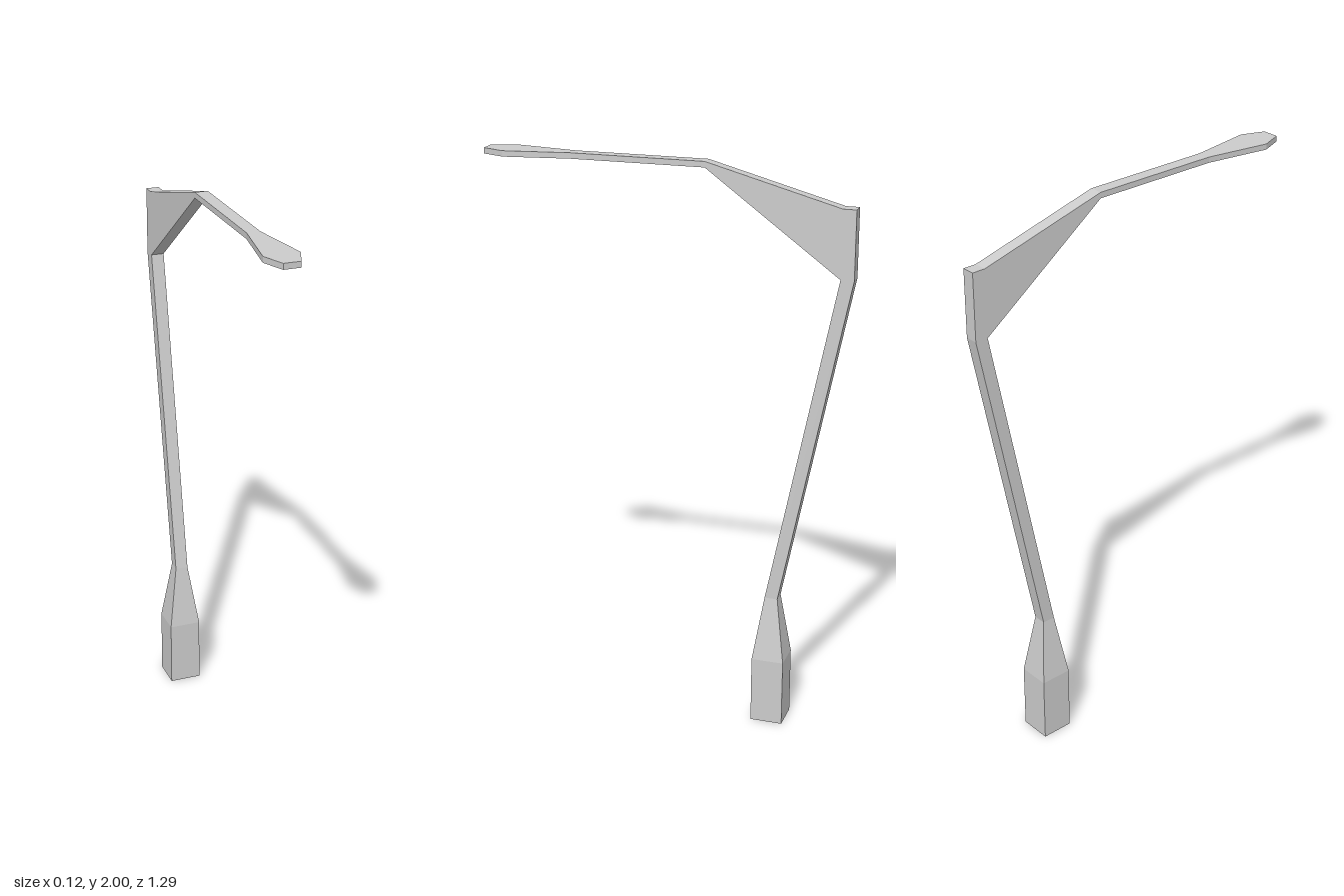
import * as THREE from 'three';

const material = new THREE.MeshStandardMaterial({ color: 0xcccccc, flatShading: true });
const HALF = 0.023; // half width of the pole, bracket and arm

function addPart(group, name, geometry) {
  const mesh = new THREE.Mesh(geometry, material);
  mesh.name = name;
  group.add(mesh);
}

function extrude(points, depth) {
  const shape = new THREE.Shape(points.map(([x, y]) => new THREE.Vector2(x, y)));
  return new THREE.ExtrudeGeometry(shape, { depth, bevelEnabled: false });
}

// Square post through horizontal sections: [y, centre z, half width, half depth]
function post(sections) {
  const rows = sections.length - 1;
  const box = new THREE.BoxGeometry(2, 1, 2, 1, rows, 1);
  const pos = box.attributes.position;
  for (let i = 0; i < pos.count; i++) {
    const [y, z, hw, hd] = sections[Math.round((pos.getY(i) + 0.5) * rows)];
    pos.setXYZ(i, pos.getX(i) * hw, y, z + pos.getZ(i) * hd);
  }
  const geometry = box.toNonIndexed();
  geometry.computeVertexNormals();
  return geometry;
}

export function createModel() {
  const group = new THREE.Group();
  group.name = 'streetLamp';

  // Square foot, tapering neck
  addPart(group, 'base', post([
    [0, -0.39, 0.057, 0.057],
    [0.24, -0.39, 0.057, 0.057],
    [0.47, -0.39, HALF, HALF],
  ]));

  // Pole leaning backwards
  addPart(group, 'pole', post([
    [0.47, -0.39, HALF, HALF],
    [1.64, -0.623, HALF, HALF],
  ]));

  // Wedge joining pole and arm, side profile in (z, y)
  const bracket = extrude([
    [-0.646, 1.64], [-0.6, 1.64], [-0.135, 1.98],
    [-0.135, 2], [-0.6, 1.875], [-0.646, 1.875],
  ], HALF * 2);
  bracket.rotateY(-Math.PI / 2).translate(HALF, 0, 0);
  addPart(group, 'bracket', bracket);

  // Flat arm widening into the lamp head, plan outline mirrored in x
  const side = [[HALF, -0.135], [HALF, 0.335], [0.061, 0.565], [0.029, 0.646]];
  const outline = [...side, ...side.map(([x, z]) => [-x, z]).reverse()];
  const arm = extrude(outline.map(([x, z]) => [x, -z]), 0.02);
  arm.rotateX(-Math.PI / 2).translate(0, 1.98, 0);
  addPart(group, 'armAndLampHead', arm);

  return group;
}
